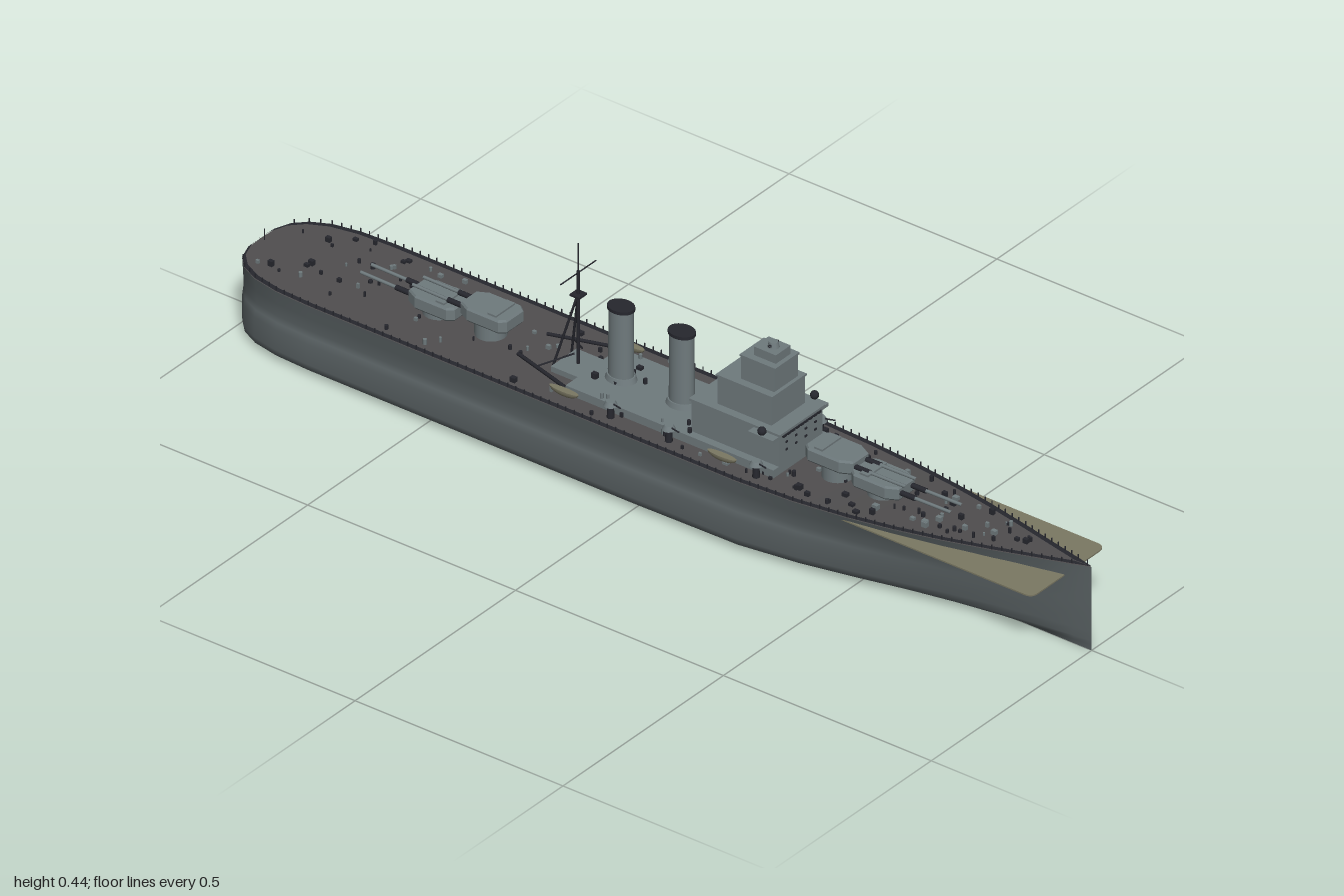
import * as THREE from 'three';
import { mergeGeometries } from 'three/addons/utils/BufferGeometryUtils.js';

const mat = (name, color, side = THREE.FrontSide) => {
  const m = new THREE.MeshStandardMaterial({ color, side });
  m.name = name;
  return m;
};
const hullGrey = mat('hull grey', 0x596163, THREE.DoubleSide);
const deckGrey = mat('deck grey', 0x504e4f, THREE.DoubleSide);
const paleGrey = mat('superstructure grey', 0x6f7a7d);
const dark = mat('dark fittings', 0x26272e, THREE.DoubleSide);
const tan = mat('tan wood', 0x7b7863);

// Stations along the hull: x and half width at the deck
const stations = [[-1, 0], [-0.998, 0.04], [-0.985, 0.076], [-0.96, 0.102], [-0.92, 0.122], [-0.86, 0.134],
  [-0.78, 0.138], [-0.4, 0.138], [0, 0.138], [0.25, 0.137], [0.38, 0.13], [0.5, 0.117], [0.6, 0.101],
  [0.7, 0.08], [0.8, 0.055], [0.9, 0.028], [0.96, 0.012], [1, 0]];
const sheer = x => 0.16 + 0.027 * Math.max(0, (x - 0.3) / 0.7) ** 1.5;
const halfWidth = x => {
  const i = Math.max(1, stations.findIndex(s => s[0] >= x));
  const [a, b] = [stations[i - 1], stations[i]];
  return a[1] + (b[1] - a[1]) * (x - a[0]) / (b[0] - a[0]);
};

// Half sections, as fraction of deck width and height, amidships and at the bow
const midSection = [[0, 0], [0.9, 0.011], [0.98, 0.015], [1.01, 0.03], [1.01, 0.075], [0.97, 0.088], [0.935, 0.1], [0.965, 0.13], [1, 0.16]];
const bowSection = [[0, 0], [0.25, 0.01], [0.36, 0.018], [0.46, 0.035], [0.56, 0.07], [0.6, 0.085], [0.65, 0.1], [0.8, 0.13], [1, 0.16]];

// Surface from rows of points that run along +x; each row is one station
function loft(rows, flip) {
  const n = rows[0].length, index = [];
  for (let i = 0; i < rows.length - 1; i++) for (let j = 0; j < n - 1; j++) {
    const a = i * n + j, b = a + n, c = b + 1, d = a + 1;
    index.push(...(flip ? [a, c, b, a, d, c] : [a, b, c, a, c, d]));
  }
  const g = new THREE.BufferGeometry();
  g.setAttribute('position', new THREE.Float32BufferAttribute(rows.flat(2), 3));
  g.setIndex(index);
  g.computeVertexNormals();
  return g;
}

export function createModel() {
  const ship = new THREE.Group();
  ship.name = 'warship';
  const add = (name, geo, material, x = 0, y = 0, z = 0, parent = ship) => {
    const m = new THREE.Mesh(geo, material);
    m.name = name;
    m.position.set(x, y, z);
    parent.add(m);
    return m;
  };
  // Box given by its x, y and half z extents
  const block = (name, x0, x1, y0, y1, hz, material = paleGrey, z = 0) =>
    add(name, new THREE.BoxGeometry(x1 - x0, y1 - y0, hz * 2), material, (x0 + x1) / 2, (y0 + y1) / 2, z);
  const rod = (a, b, r = 0.002, sides = 6) =>
    new THREE.TubeGeometry(new THREE.LineCurve3(new THREE.Vector3(...a), new THREE.Vector3(...b)), 1, r, sides);

  // Hull sides and dark gunwale
  for (const s of [1, -1]) {
    const side = stations.map(([x, w]) => {
      const t = THREE.MathUtils.smoothstep(x, 0.15, 1);
      return midSection.map((p, j) => [x, THREE.MathUtils.lerp(p[1], bowSection[j][1], t) * sheer(x) / 0.16,
        s * w * THREE.MathUtils.lerp(p[0], bowSection[j][0], t)]);
    });
    add('hullSide', loft(side, s < 0), hullGrey);
    const edge = stations.map(([x, w]) => [[x, sheer(x) + 0.002, s * w], [x, sheer(x) + 0.002, s * Math.max(0, w - 0.011)]]);
    add('gunwale', loft(edge, s < 0), dark);
  }
  add('mainDeck', loft(stations.map(([x, w]) => [[x, sheer(x), w], [x, sheer(x), 0], [x, sheer(x), -w]])), deckGrey);

  // Flat rounded plate crossing the bow
  const plate = new THREE.Shape();
  plate.moveTo(0.4, -0.115).lineTo(0.925, -0.115).quadraticCurveTo(0.945, -0.115, 0.945, -0.095)
    .lineTo(0.945, 0.095).quadraticCurveTo(0.945, 0.115, 0.925, 0.115).lineTo(0.4, 0.115);
  const plateGeo = new THREE.ExtrudeGeometry(plate, { depth: 0.003, bevelEnabled: false }).rotateX(-Math.PI / 2);
  add('bowPlate', plateGeo, tan, 0, 0.153, 0);

  // Railing posts around the deck edge, plus bow and stern staffs
  const posts = [];
  for (const s of [1, -1]) for (let x = -0.98; x < 0.98; x += 0.02) {
    posts.push(new THREE.BoxGeometry(0.002, 0.01, 0.002).translate(x, sheer(x) + 0.006, s * (halfWidth(x) - 0.002)));
  }
  add('railingPosts', mergeGeometries(posts), dark);
  add('bowStaff', rod([0.99, 0.18, 0], [0.99, 0.2, 0], 0.001), dark);
  add('sternStaff', rod([-0.99, 0.16, 0], [-0.99, 0.185, 0], 0.001), dark);

  // Deckhouse and stepped bridge tower
  block('deckhouse', -0.2, 0.3, 0.158, 0.178, 0.085);
  block('bridgeBase', 0.09, 0.3, 0.17, 0.25, 0.068);
  block('bridgeMiddle', 0.14, 0.27, 0.25, 0.316, 0.052);
  block('bridgeUpper', 0.185, 0.265, 0.316, 0.37, 0.037);
  block('lookout', 0.205, 0.258, 0.37, 0.39, 0.023);
  block('bridgeRoof', 0.085, 0.304, 0.246, 0.251, 0.07);
  block('middleRoof', 0.137, 0.273, 0.313, 0.317, 0.054);
  block('upperRoof', 0.182, 0.268, 0.367, 0.371, 0.038);
  add('lookoutDirector', new THREE.CylinderGeometry(0.009, 0.012, 0.012, 12), paleGrey, 0.235, 0.396, 0);
  add('lookoutBar', rod([0.235, 0.396, -0.014], [0.235, 0.396, 0.014], 0.003), dark);
  for (let i = -4; i <= 4; i++) block('bridgeWindow', 0.3, 0.305, 0.24, 0.245, 0.005, dark, i * 0.0135);
  for (const z of [-0.045, -0.015, 0.015, 0.045]) for (const y of [0.205, 0.222])
    block('porthole', 0.3, 0.302, y, y + 0.004, 0.003, dark, z);
  for (const s of [1, -1]) {
    block('bridgeWing', 0.24, 0.3, 0.238, 0.245, 0.01, paleGrey, s * 0.077);
    add('wingDirector', new THREE.SphereGeometry(0.009, 12, 8), dark, 0.27, 0.254, s * 0.082);
    // Secondary guns beside the tower
    for (const x of [0.27, 0.06, -0.08]) {
      add('gunPedestal', new THREE.CylinderGeometry(0.006, 0.008, 0.03, 8), dark, x, 0.173, s * 0.1);
      add('gunTub', new THREE.CylinderGeometry(0.009, 0.014, 0.01, 12), paleGrey, x, 0.192, s * 0.1);
      add('gunBarrel', rod([x, 0.193, s * 0.1], [x + 0.03, 0.195, s * 0.108], 0.0016), dark);
    }
    // Ship's boats
    for (const x of [-0.19, 0.19]) {
      const boat = add('boat', new THREE.SphereGeometry(1, 16, 6, 0, Math.PI * 2, Math.PI / 2, Math.PI / 2), tan, x, 0.181, s * 0.103);
      boat.scale.set(0.035, 0.014, 0.008);
      const lid = add('boatCover', new THREE.CircleGeometry(1, 16).rotateX(-Math.PI / 2), tan, x, 0.181, s * 0.103);
      lid.scale.set(0.035, 1, 0.008);
    }
    // Crane booms abaft the deckhouse
    add('boom', rod([-0.345, 0.174, s * 0.045], [-0.2, 0.176, s * 0.088], 0.004), dark);
    add('boomBrace', rod([-0.235, 0.2, s * 0.012], [-0.29, 0.174, s * 0.06], 0.002), dark);
  }

  // Funnels with dark mouths
  for (const x of [-0.132, 0.014]) {
    const funnel = new THREE.Group();
    funnel.name = 'funnel';
    funnel.position.x = x;
    funnel.scale.z = 0.8;
    ship.add(funnel);
    add('funnelCasing', new THREE.CylinderGeometry(0.026, 0.027, 0.165, 24), paleGrey, 0, 0.255, 0, funnel);
    add('funnelRim', new THREE.CylinderGeometry(0.029, 0.029, 0.007, 24), dark, 0, 0.338, 0, funnel);
    add('funnelBase', new THREE.CylinderGeometry(0.03, 0.034, 0.012, 24), paleGrey, 0, 0.183, 0, funnel);
  }

  // Tripod mast with yard
  add('mastPole', rod([-0.235, 0.16, 0], [-0.235, 0.38, 0], 0.0035), dark);
  add('mastTop', rod([-0.235, 0.38, 0], [-0.235, 0.442, 0], 0.0016), dark);
  add('mastYard', rod([-0.235, 0.376, -0.055], [-0.235, 0.376, 0.055], 0.0014), dark);
  for (const s of [1, -1]) add('mastLeg', rod([-0.275, 0.16, s * 0.03], [-0.235, 0.33, 0], 0.0025), dark);
  block('mastPlatform', -0.247, -0.223, 0.325, 0.329, 0.012, dark);
  block('mastHouse', -0.27, -0.2, 0.158, 0.172, 0.04);

  // Twin-gun main turrets: centre x, base height and facing
  const turretShape = new THREE.Shape([[-0.058, -0.026], [-0.045, -0.037], [0.03, -0.037], [0.055, -0.024],
    [0.055, 0.024], [0.03, 0.037], [-0.045, 0.037], [-0.058, 0.026]].map(p => new THREE.Vector2(...p)));
  const turretGeo = new THREE.ExtrudeGeometry(turretShape, { depth: 0.022, bevelEnabled: true, bevelThickness: 0.004, bevelSize: 0.003, bevelOffset: -0.003, bevelSegments: 1 })
    .rotateX(-Math.PI / 2);
  for (const [x, y, turn] of [[0.5, 0.18, 0], [0.39, 0.196, 0], [-0.57, 0.176, Math.PI], [-0.445, 0.196, Math.PI]]) {
    const turret = new THREE.Group();
    turret.name = 'mainTurret';
    turret.position.set(x, y, 0);
    turret.rotation.y = turn;
    ship.add(turret);
    add('turretHouse', turretGeo, paleGrey, 0, 0, 0, turret);
    add('barbette', new THREE.CylinderGeometry(0.032, 0.032, 0.045, 20), paleGrey, 0, -0.022, 0, turret);
    block('turretHatch', -0.035, -0.015, 0.026, 0.03, 0.03);
    turret.add(ship.children[ship.children.length - 1]);
    for (const z of [-0.017, 0.017]) {
      add('mainBarrel', rod([0.05, 0.012, z], [0.175, 0.014, z], 0.0035, 8), paleGrey, 0, 0, 0, turret);
      add('barrelSleeve', rod([0.05, 0.012, z], [0.09, 0.0125, z], 0.0055, 8), dark, 0, 0, 0, turret);
    }
  }

  // Small vents, hatches and bollards scattered over the decks
  let seed = 7;
  const rnd = () => (seed = (seed * 16807) % 2147483647) / 2147483647;
  const pale = [], black = [];
  for (let i = 0; i < 190; i++) {
    const x = -0.95 + rnd() * 1.8, z = (rnd() * 2 - 1) * (halfWidth(x) - 0.02), h = 0.005 + rnd() * 0.007, r = 0.002 + rnd() * 0.003;
    const onHouse = x > -0.2 && x < 0.09 && Math.abs(z) < 0.08;
    const g = i % 2 ? new THREE.CylinderGeometry(r, r, h, 8) : new THREE.BoxGeometry(r * 2.5, h, r * 2);
    (i % 3 ? black : pale).push(g.translate(x, (onHouse ? 0.178 : sheer(x)) + h / 2, z));
  }
  add('deckVents', mergeGeometries(pale), paleGrey);
  add('deckFittings', mergeGeometries(black), dark);

  return ship;
}
